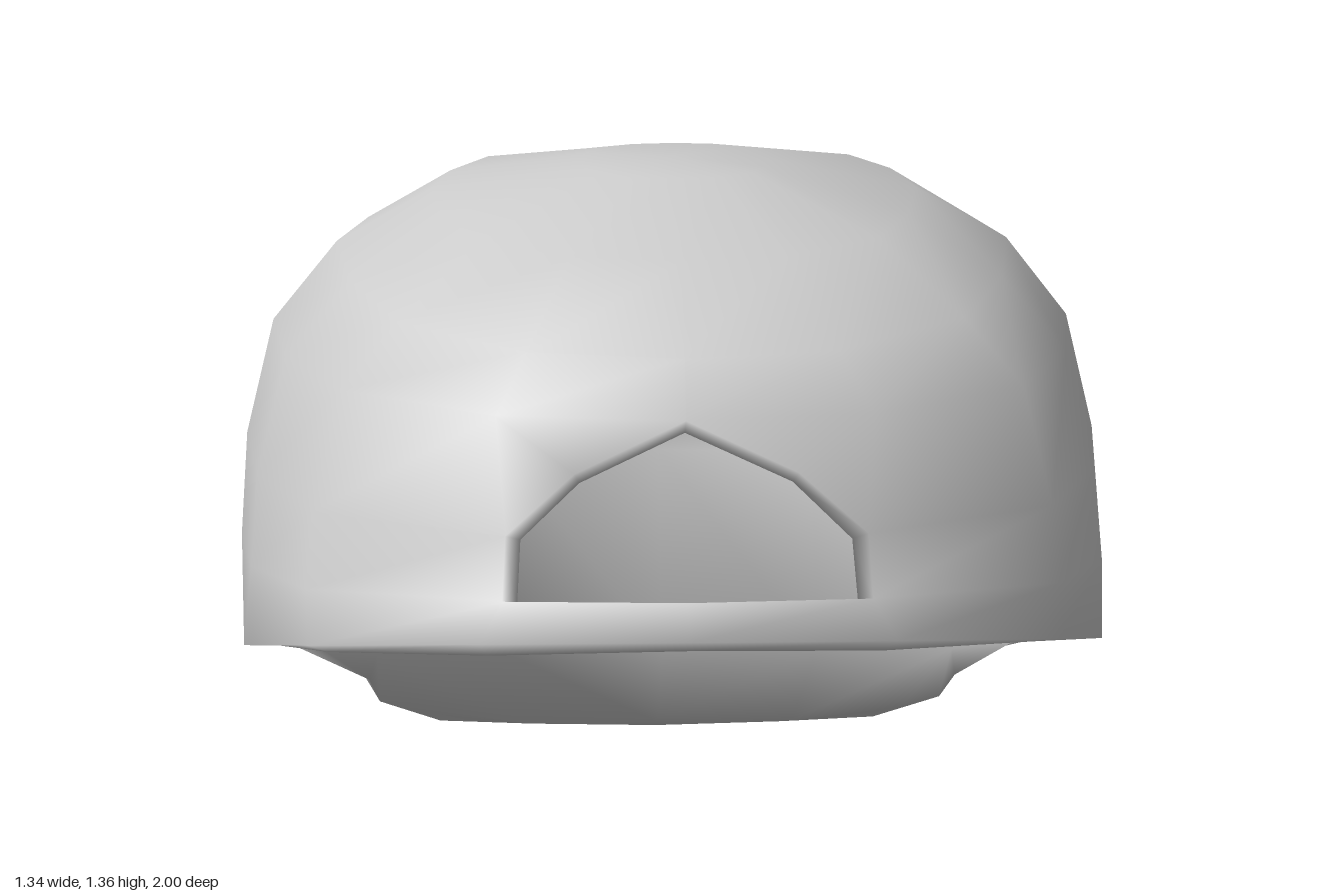
import * as THREE from 'three';

const SEG = 16;

// Collects surface points, each with its own wall thickness, and triangles.
function createSheet() {
  const points = [], depths = [], tris = [];
  return {
    points, depths, tris,
    point(p, depth) {
      depths.push(depth);
      return points.push(p) - 1;
    },
  };
}

// Gives the open sheet its thickness: offset copy behind it, joined along every open edge.
function solidify({ points, depths, tris }) {
  const geo = new THREE.BufferGeometry();
  geo.setAttribute('position', new THREE.Float32BufferAttribute(points.flat(), 3));
  geo.setIndex(tris.flat());
  geo.computeVertexNormals();
  const normal = geo.attributes.normal;
  const n = points.length;
  const inner = points.map((p, i) => [
    p[0] - normal.getX(i) * depths[i],
    p[1] - normal.getY(i) * depths[i],
    p[2] - normal.getZ(i) * depths[i],
  ]);
  const faces = [...tris, ...tris.map(([a, b, c]) => [a + n, c + n, b + n])];
  const edges = tris.flatMap(([a, b, c]) => [[a, b], [b, c], [c, a]]);
  const known = new Set(edges.map((e) => e.join()));
  for (const [u, v] of edges) {
    if (!known.has(`${v},${u}`)) faces.push([v, u, u + n], [v, u + n, v + n]);
  }
  const solid = new THREE.BufferGeometry();
  solid.setAttribute('position', new THREE.Float32BufferAttribute([...points, ...inner].flat(), 3));
  solid.setIndex(faces.flat());
  solid.computeVertexNormals();
  return solid;
}

// Crown: tilted oval rings from the rim to the top, with an arched opening above the strap.
function addCrown(sheet) {
  // [visor-end z, y, strap-end z, y, half width, extra height at the sides]
  const rings = [
    [-0.54, 0.325, 0.995, 0.85, 0.665, 0],
    [-0.67, 0.64, 0.965, 0.895, 0.67, -0.03],
    [-0.66, 0.82, 0.93, 0.97, 0.657, 0],
    [-0.57, 1.0, 0.84, 1.11, 0.61, 0.02],
    [-0.38, 1.16, 0.78, 1.18, 0.505, 0.04],
    [-0.13, 1.29, 0.63, 1.28, 0.36, 0.015],
    [0.14, 1.35, 0.42, 1.353, 0.14, 0],
  ];
  // Half oval as fractions of the half width and half length
  const fx = [0, 0.42, 0.78, 0.93, 1, 0.93, 0.78, 0.42, 0];
  const fz = [-1, -0.95, -0.77, -0.43, -0.05, 0.39, 0.73, 0.95, 1];

  rings.forEach(([zf, yf, zb, yb, w, lift], i) => {
    for (let k = 0; k < SEG; k++) {
      const m = k <= 8 ? k : SEG - k;
      const t = (fz[m] + 1) / 2;
      const besideOpening = m === 7 && (i === 1 || i === 2);
      const x = (k <= 8 ? 1 : -1) * fx[m] * w * (besideOpening ? 0.88 : 1);
      sheet.point([x, yf + (yb - yf) * t + lift * (1 - fz[m] ** 2), zf + (zb - zf) * t], 0.04);
    }
  });
  const apex = sheet.point([0, 1.358, 0.28], 0.04);
  const archLeft = sheet.point([0.15, 1.045, 0.868], 0.04);
  const archRight = sheet.point([-0.15, 1.045, 0.868], 0.04);

  const id = (i, k) => i * SEG + (k % SEG);
  rings.forEach((_, i) => {
    for (let k = 0; k < SEG; k++) {
      const a = id(i, k), b = id(i, k + 1);
      if (i === rings.length - 1) {
        sheet.tris.push([a, apex, b]);
        continue;
      }
      const c = id(i + 1, k), d = id(i + 1, k + 1);
      const opening = k === 7 || k === 8;
      if (opening && i === 1) continue;
      if (opening && i === 2) {
        if (k === 7) sheet.tris.push([a, c, archLeft], [archLeft, c, d]);
        else sheet.tris.push([b, archRight, d], [archRight, c, d]);
      } else sheet.tris.push([a, c, b], [b, c, d]);
    }
  });
}

// Visor: grows out of the front of the crown rim to a rounded edge, thickest near its middle.
function addVisor(sheet) {
  const outline = [
    [0, 0.045, -1], [0.24, 0.06, -0.96], [0.41, 0.105, -0.86],
    [0.515, 0.23, -0.62], [0.535, 0.335, -0.42],
  ];
  const middleDepth = [0.08, 0.08, 0.06];
  const middlePoint = (m) => sheet.points[m].map((v, axis) => v + (outline[m][axis] - v) * 0.65);
  const centreMiddle = sheet.point(middlePoint(0), middleDepth[0]);
  const centreEdge = sheet.point(outline[0], 0.05);

  for (const side of [1, -1]) {
    const mirrored = ([x, y, z]) => [side * x, y, z];
    const rim = [0, 1, 2, 3].map((m) => (SEG + side * m) % SEG);
    const middle = [centreMiddle];
    for (const m of [1, 2]) middle.push(sheet.point(mirrored(middlePoint(m)), middleDepth[m]));
    const edge = [centreEdge];
    for (const p of outline.slice(1)) edge.push(sheet.point(mirrored(p), 0.045));

    const half = [];
    for (const [near, far] of [[rim, middle], [middle, edge]]) {
      for (const m of [0, 1]) {
        half.push([near[m], near[m + 1], far[m]], [near[m + 1], far[m + 1], far[m]]);
      }
    }
    half.push(
      [rim[2], edge[3], middle[2]], [middle[2], edge[3], edge[2]],
      [rim[2], edge[4], edge[3]], [rim[2], rim[3], edge[4]],
    );
    sheet.tris.push(...half.map(([a, b, c]) => (side > 0 ? [a, b, c] : [a, c, b])));
  }
}

export function createModel() {
  const cap = new THREE.Group();
  cap.name = 'cap';
  const sheet = createSheet();
  addCrown(sheet);
  addVisor(sheet);
  const shell = new THREE.Mesh(
    solidify(sheet),
    new THREE.MeshStandardMaterial({ color: 0xcccccc }),
  );
  shell.name = 'crownAndVisor';
  cap.add(shell);
  return cap;
}
